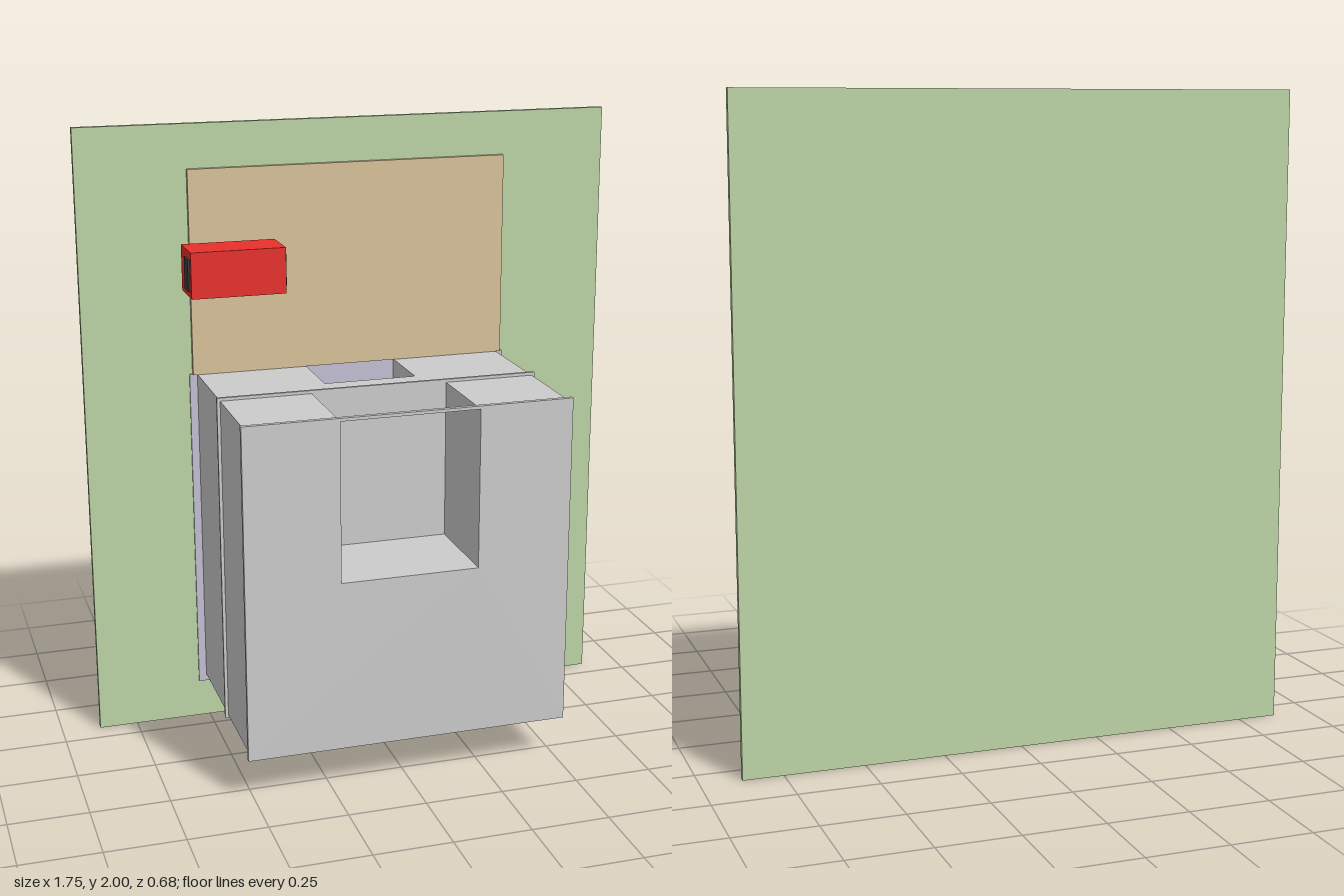
import * as THREE from 'three';

const paint = (color) => new THREE.MeshStandardMaterial({ color });
const grey = paint(0xcccccc);
const green = paint(0xbcd5a6);
const tan = paint(0xd9c29a);
const lilac = paint(0xc4c0d4);
const red = paint(0xe8302c);
const dark = paint(0x3a3c40);

export function createModel() {
  const model = new THREE.Group();

  const add = (name, geometry, material) => {
    const mesh = new THREE.Mesh(geometry, material);
    mesh.name = name;
    model.add(mesh);
    return mesh;
  };

  // Box given by its limits on each axis
  const box = (name, [x0, x1], [y0, y1], [z0, z1], material = grey) => {
    const mesh = add(name, new THREE.BoxGeometry(x1 - x0, y1 - y0, z1 - z0), material);
    mesh.position.set((x0 + x1) / 2, (y0 + y1) / 2, (z0 + z1) / 2);
    return mesh;
  };

  // Outline in x and y, extruded from z0 to z1
  const slab = (name, points, hole, z0, z1) => {
    const toVectors = (list) => list.map(([x, y]) => new THREE.Vector2(x, y));
    const shape = new THREE.Shape(toVectors(points));
    if (hole) shape.holes.push(new THREE.Path(toVectors(hole)));
    const geometry = new THREE.ExtrudeGeometry(shape, { depth: z1 - z0, bevelEnabled: false });
    add(name, geometry, grey).position.z = z0;
  };

  const rect = (x, y0, y1) => [[-x, y0], [x, y0], [x, y1], [-x, y1]];
  // Block outline with a notch cut down from its top edge
  const notched = (x, y0, y1, nx, ny) => [
    [-x, y0], [x, y0], [x, y1], [nx, y1], [nx, ny], [-nx, ny], [-nx, y1], [-x, y1],
  ];

  // Wall boards
  box('wallBoard', [-0.875, 0.875], [0, 2], [-0.34, -0.321], green);
  box('upperPanel', [-0.525, 0.525], [1.2, 1.86], [-0.321, -0.306], tan);
  box('backPlate', [-0.535, 0.535], [0.127, 1.2], [-0.321, -0.315], lilac);

  // Rear block with a shallow pocket in its top
  slab('rearBlockBack', notched(0.51, 0.15, 1.2, 0.15, 1.09), null, -0.315, -0.085);
  box('rearBlockFront', [-0.51, 0.51], [0.15, 1.2], [-0.085, 0.007]);

  // Plate between the blocks
  box('middlePlate', [-0.52, 0.52], [0.14, 1.21], [0.007, 0.017]);

  // Front block with a deep opening, and the face plate cut to match
  slab('frontBlock', notched(0.51, 0.15, 1.2, 0.22, 0.69), null, 0.017, 0.32);
  slab('facePlate', rect(0.52, 0.14, 1.21), rect(0.22, 0.69, 1.2), 0.32, 0.335);

  // Red housing with dark end panels
  box('housing', [-0.56, -0.26], [1.49, 1.635], [-0.265, -0.12], red);
  for (const x of [-0.562, -0.258]) {
    box('endPanel', [x - 0.004, x + 0.004], [1.51, 1.61], [-0.195, -0.14], dark);
  }

  // Rollers under the rear edge of the housing
  for (const x of [-0.501, -0.296]) {
    const roller = add('roller', new THREE.CylinderGeometry(0.024, 0.024, 0.025, 24), dark);
    roller.rotation.z = Math.PI / 2;
    roller.position.set(x, 1.486, -0.281);
  }

  return model;
}
